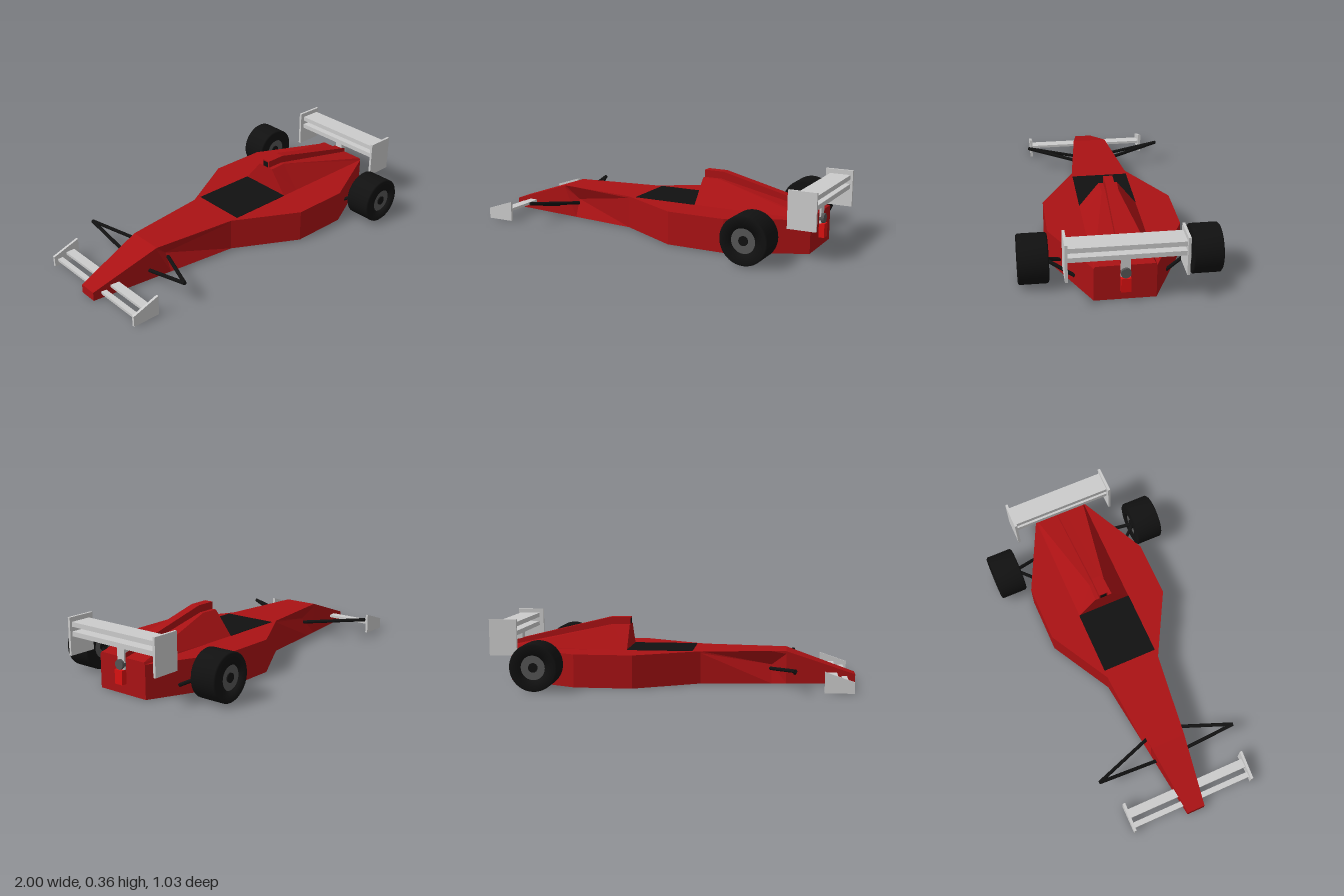
import * as THREE from 'three';

const mat = (color) => new THREE.MeshStandardMaterial({ color, flatShading: true });
const red = mat(0xaa1214), black = mat(0x111111), grey = mat(0xcccccc);
const rimGrey = mat(0x555555), lightRed = mat(0xdd1111);
const rubber = new THREE.MeshStandardMaterial({ color: 0x111111 });

export function createModel() {
  const car = new THREE.Group();
  car.name = 'racingCar';

  const add = (name, geometry, material, parent = car) => {
    const mesh = new THREE.Mesh(geometry, material);
    mesh.name = name;
    parent.add(mesh);
    return mesh;
  };

  // Box given by its limits along each axis
  const box = (name, material, [x0, x1], [y0, y1], [z0, z1]) => {
    const g = new THREE.BoxGeometry(x1 - x0, y1 - y0, z1 - z0);
    g.translate((x0 + x1) / 2, (y0 + y1) / 2, (z0 + z1) / 2);
    return add(name, g, material);
  };

  // Symmetric loft: each station is [x, [z, y], ...] from bottom to top of one side
  const loft = (name, material, stations) => {
    const rings = stations.map(([x, ...half]) => [
      ...half.map(([z, y]) => [x, y, z]),
      ...half.slice().reverse().map(([z, y]) => [x, y, -z]),
    ]);
    const n = rings[0].length, pos = [];
    const tri = (a, b, c) => pos.push(...a, ...b, ...c);
    for (let i = 0; i < rings.length - 1; i++) {
      for (let j = 0; j < n; j++) {
        const k = (j + 1) % n;
        tri(rings[i][j], rings[i + 1][j], rings[i][k]);
        tri(rings[i][k], rings[i + 1][j], rings[i + 1][k]);
      }
    }
    const first = rings[0], last = rings[rings.length - 1];
    for (let j = 1; j < n - 1; j++) {
      tri(first[0], first[j], first[j + 1]);
      tri(last[0], last[j + 1], last[j]);
    }
    const g = new THREE.BufferGeometry();
    g.setAttribute('position', new THREE.Float32BufferAttribute(pos, 3));
    g.computeVertexNormals();
    return add(name, g, material);
  };

  // Side profile extruded across z
  const plate = (name, material, points, z0, z1) => {
    const shape = new THREE.Shape(points.map(([x, y]) => new THREE.Vector2(x, y)));
    const g = new THREE.ExtrudeGeometry(shape, { depth: z1 - z0, bevelEnabled: false });
    g.translate(0, 0, z0);
    return add(name, g, material);
  };

  const rod = (name, from, to, radius = 0.01) => {
    const a = new THREE.Vector3(...from), b = new THREE.Vector3(...to);
    const mesh = add(name, new THREE.CylinderGeometry(radius, radius, a.distanceTo(b), 8), black);
    mesh.position.copy(a).add(b).multiplyScalar(0.5);
    mesh.quaternion.setFromUnitVectors(new THREE.Vector3(0, 1, 0), b.sub(a).normalize());
  };

  // Main body with a scoop in each side of the nose
  loft('body', red, [
    [-1, [0.05, 0], [0.05, 0.03], [0.05, 0.05]],
    [-0.62, [0.097, 0], [0.097, 0.165], [0.097, 0.18]],
    [-0.54, [0.107, 0], [0.065, 0.1], [0.107, 0.18]],
    [-0.15, [0.155, 0], [0.155, 0.17], [0.155, 0.18]],
    [0.2, [0.348, 0], [0.348, 0.1], [0.348, 0.18]],
    [0.52, [0.348, 0], [0.348, 0.1], [0.348, 0.18]],
    [0.92, [0.155, 0], [0.155, 0.1], [0.155, 0.18]],
  ]);
  box('cockpit', black, [-0.105, 0.26], [-0.001, 0.182], [-0.155, 0.155]);

  // Engine cover, its central spine and the air intake
  loft('engineCover', red, [
    [0.26, [0.155, 0.178], [0.05, 0.31]],
    [0.36, [0.155, 0.178], [0.045, 0.31]],
    [0.92, [0.155, 0.178], [0.148, 0.19]],
  ]);
  plate('coverSpine', red,
    [[0.26, 0.18], [0.92, 0.18], [0.92, 0.215], [0.37, 0.35], [0.26, 0.35]], -0.025, 0.025);
  box('airIntake', black, [0.258, 0.27], [0.312, 0.342], [-0.018, 0.018]);

  // Tail: light, exhaust and wing post
  box('rearLight', lightRed, [0.91, 0.95], [0.055, 0.13], [-0.025, 0.025]);
  const exhaust = add('exhaust', new THREE.CylinderGeometry(0.026, 0.026, 0.06, 20), rimGrey);
  exhaust.rotation.z = Math.PI / 2;
  exhaust.position.set(0.915, 0.156, 0);
  box('wingPost', grey, [0.89, 0.93], [0.13, 0.265], [-0.024, 0.024]);

  // Rear wing
  box('rearWingLower', grey, [0.87, 0.985], [0.26, 0.285], [-0.29, 0.29]);
  box('rearWingUpper', grey, [0.87, 0.985], [0.31, 0.335], [-0.29, 0.29]);

  // Front wing
  box('frontWingFirst', grey, [-0.955, -0.925], [0.025, 0.04], [-0.355, 0.355]);
  box('frontWingSecond', grey, [-0.9, -0.85], [0.045, 0.06], [-0.355, 0.355]);

  // Tyre cross-section: radius, distance along the axle
  const tyreProfile = [
    [0.066, -0.077], [0.12, -0.077], [0.128, -0.07], [0.128, 0.07],
    [0.12, 0.077], [0.066, 0.077], [0.066, -0.077],
  ];

  for (const s of [1, -1]) {
    const side = s > 0 ? 'Left' : 'Right';
    const span = (a, b) => (s > 0 ? [a, b] : [-b, -a]);

    box('rearWingEndplate' + side, grey, [0.845, 0.998], [0.16, 0.36], span(0.285, 0.299));
    plate('frontWingEndplate' + side, grey,
      [[-0.975, 0], [-0.82, 0], [-0.82, 0.112], [-0.975, 0.06]], ...span(0.347, 0.361));

    // Rear wheel
    const wheel = new THREE.Group();
    wheel.name = 'rearWheel' + side;
    wheel.position.set(0.7, 0.13, s * 0.437);
    wheel.rotation.x = s * Math.PI / 2;
    car.add(wheel);
    const tyre = new THREE.LatheGeometry(tyreProfile.map((p) => new THREE.Vector2(...p)), 40);
    add('tyre', tyre, rubber, wheel);
    add('rim', new THREE.CylinderGeometry(0.067, 0.067, 0.134, 40), rimGrey, wheel);
    add('hub', new THREE.CylinderGeometry(0.025, 0.025, 0.146, 24), black, wheel);

    // Suspension arms
    const outer = [0.7, 0.125, s * 0.38];
    rod('rearArmFront' + side, outer, [0.6, 0.05, s * 0.25]);
    rod('rearArmBack' + side, outer, [0.76, 0.05, s * 0.23]);
    const tip = [-0.665, 0.125, s > 0 ? 0.38 : -0.43];
    rod('frontArmFront' + side, tip, [-0.668, 0.055, s * 0.08]);
    rod('frontArmBack' + side, tip, [-0.535, 0.08, s * 0.08]);
  }
  return car;
}
